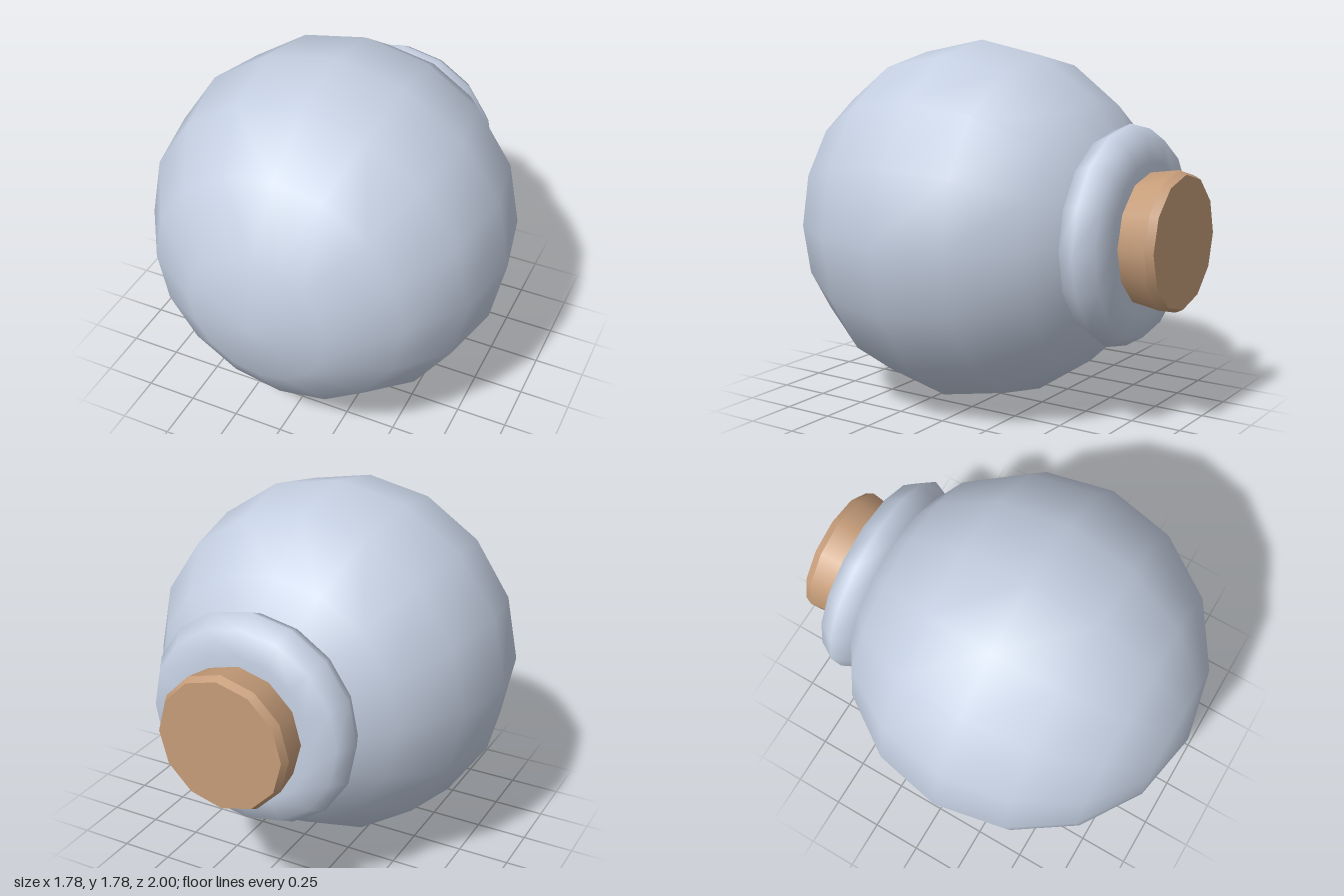
import * as THREE from 'three';

const CENTER_Y = 0.895;

export function createModel() {
  const model = new THREE.Group();
  model.name = 'roundFlask';

  const glass = new THREE.MeshStandardMaterial({ color: 0xc4cfe1 });
  glass.name = 'pale blue glass';
  const cork = new THREE.MeshStandardMaterial({ color: 0xc59c79 });
  cork.name = 'cork brown';

  // Geometry is made along +y, then laid down so +y points to the back (-z)
  const add = (name, geometry, material, z) => {
    geometry.rotateX(-Math.PI / 2);
    const mesh = new THREE.Mesh(geometry, material);
    mesh.name = name;
    mesh.position.set(0, CENTER_Y, z);
    model.add(mesh);
  };

  // Round body, poles front and back
  add('body', new THREE.SphereGeometry(0.89, 16, 8), glass, 0.105);

  // Swollen lip around the mouth
  const lip = [
    [0.38, 0.6], [0.485, 0.625], [0.525, 0.714], [0.472, 0.8], [0.36, 0.823], [0.26, 0.82],
  ].map(([r, h]) => new THREE.Vector2(r, h));
  add('lip', new THREE.LatheGeometry(lip, 16), glass, 0);

  // Stopper: flared side, narrow bevel, flat end
  const stopper = (name, rBack, rFront, zFront, zBack) =>
    add(name, new THREE.CylinderGeometry(rBack, rFront, zFront - zBack, 12, 1, true), cork, (zFront + zBack) / 2);
  stopper('stopperSide', 0.33, 0.302, -0.78, -0.963);
  stopper('stopperBevel', 0.312, 0.33, -0.963, -1);

  const end = new THREE.CircleGeometry(0.312, 12);
  end.rotateX(-Math.PI / 2);
  add('stopperEnd', end, cork, -1);

  return model;
}
